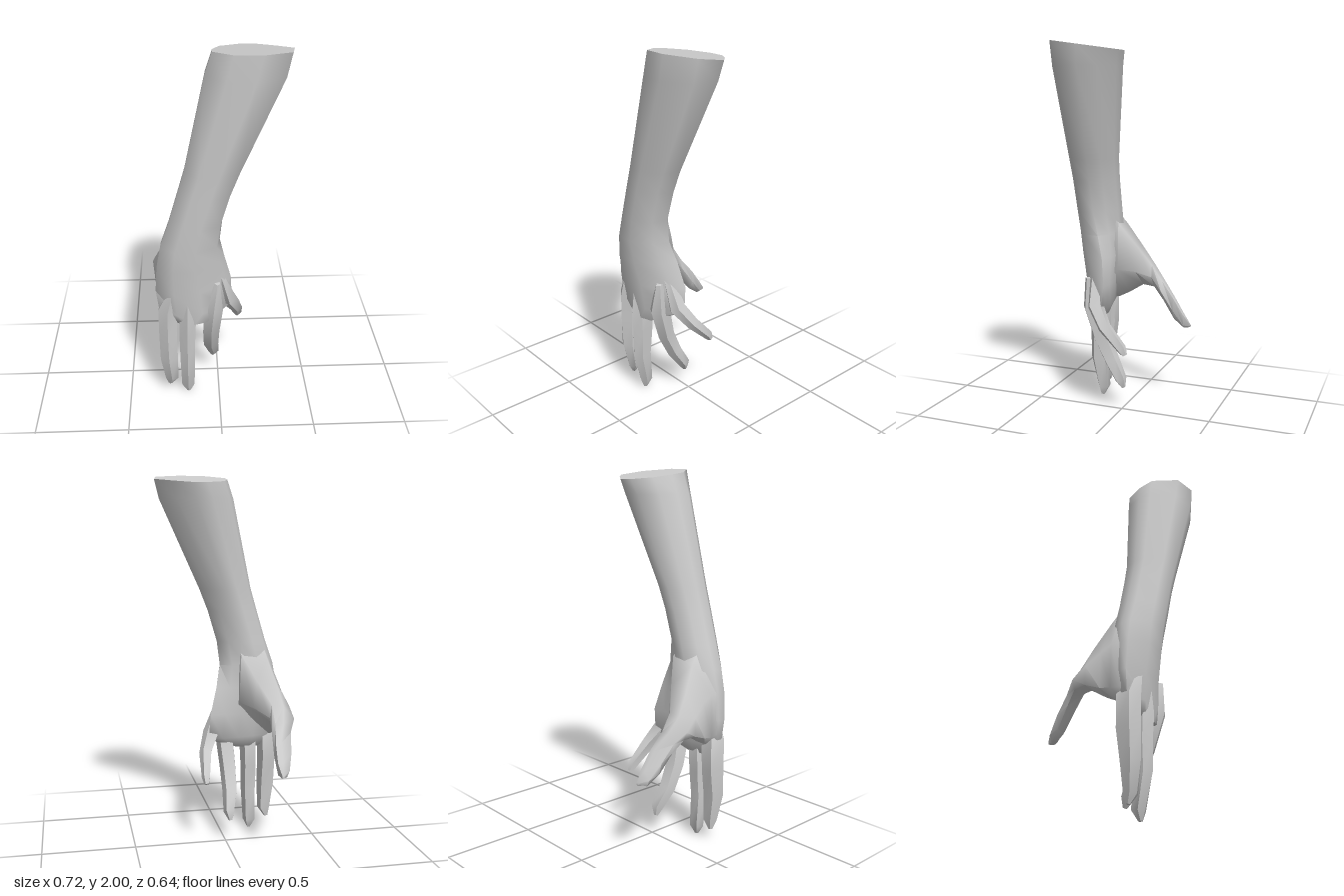
import * as THREE from 'three';
import { toCreasedNormals } from 'three/addons/utils/BufferGeometryUtils.js';

const V = (x, y, z) => new THREE.Vector3(x, y, z);
const material = new THREE.MeshStandardMaterial({ color: 0xcccccc });

// Skins a list of rings (equal point counts) and closes both ends
function loft(name, rings, crease) {
  const n = rings[0].length;
  const points = rings.flat();
  const index = [];
  for (let r = 0; r < rings.length - 1; r++) {
    for (let i = 0; i < n; i++) {
      const a = r * n + i, b = r * n + (i + 1) % n;
      index.push(a, b, a + n, b, b + n, a + n);
    }
  }
  [0, rings.length - 1].forEach((r, end) => {
    const centre = V(0, 0, 0);
    rings[r].forEach((p) => centre.addScaledVector(p, 1 / n));
    const c = points.push(centre) - 1;
    for (let i = 0; i < n; i++) {
      const a = r * n + i, b = r * n + (i + 1) % n;
      index.push(...(end ? [a, b, c] : [b, a, c]));
    }
  });
  // Turn the faces outward if the enclosed volume is negative
  let volume = 0;
  for (let i = 0; i < index.length; i += 3) {
    const [a, b, c] = [0, 1, 2].map((k) => points[index[i + k]]);
    volume += a.dot(b.clone().cross(c));
  }
  if (volume < 0) index.reverse();
  const geometry = new THREE.BufferGeometry().setFromPoints(points);
  geometry.setIndex(index);
  const mesh = new THREE.Mesh(toCreasedNormals(geometry, crease), material);
  mesh.name = name;
  return mesh;
}

// Ten-sided outline of the arm inside a unit square (x, z)
const OUTLINE = [[1, .41], [.94, .77], [.58, 1], [.24, .96], [0, .65],
  [.01, .43], [.1, .17], [.35, 0], [.57, .01], [.8, .2]];

// y, xMin, xMax, zMin, zMax, slope of the cut, curl of the little-finger side
const ARM = [
  [2.00, -.035, .36, -.055, .32, .14, 0],
  [1.87, -.07, .335, -.035, .32, 0, 0],
  [1.39, -.175, .115, .045, .31, 0, 0],
  [1.27, -.21, .068, .055, .307, 0, 0],
  [1.10, -.26, .018, .06, .305, 0, 0],
  [0.97, -.305, .005, .06, .302, 0, .02],
  [0.85, -.328, .03, .075, .295, 0, .06],
  [0.70, -.338, .068, .10, .272, 0, .09],
  [0.56, -.32, .075, .12, .255, 0, .08],
  [0.49, -.235, -.06, .15, .235, 0, 0],
];

function armRing([y, x0, x1, z0, z1, slope, curl]) {
  return OUTLINE.map(([u, v]) => V(
    x0 + u * (x1 - x0),
    y - slope * (1 - v) * (z1 - z0),
    z0 + v * (z1 - z0) - curl * Math.max(0, u - .45) / .55));
}

// Thumb cross-sections: z, then six (x, y) corners
const THUMB = [
  [.17, [-.10, 1.1], [-.24, 1.08], [-.32, .85], [-.325, .62], [-.27, .56], [-.10, .70]],
  [.12, [-.09, 1.1], [-.235, 1.08], [-.33, .85], [-.335, .62], [-.28, .57], [-.09, .72]],
  [.06, [-.10, 1.03], [-.245, 1.01], [-.33, .82], [-.34, .63], [-.28, .6], [-.09, .77]],
  [-.02, [-.17, .90], [-.28, .88], [-.35, .76], [-.35, .66], [-.29, .65], [-.155, .75]],
  [-.09, [-.235, .78], [-.3, .77], [-.36, .70], [-.34, .655], [-.28, .645], [-.225, .71]],
  [-.15, [-.24, .69], [-.285, .69], [-.325, .64], [-.315, .59], [-.265, .575], [-.222, .63]],
  [-.22, [-.225, .60], [-.255, .605], [-.31, .55], [-.295, .49], [-.25, .475], [-.217, .53]],
  [-.28, [-.222, .51], [-.25, .51], [-.285, .47], [-.27, .435], [-.245, .43], [-.222, .45]],
  [-.32, [-.235, .455], [-.24, .455], [-.245, .45], [-.245, .445], [-.24, .44], [-.235, .445]],
];

// Finger paths from knuckle to tip: x, y, z, width, depth
const FINGERS = {
  indexFinger: [[-.245, .73, .225, .02, .05], [-.278, .58, .2, .10, .12], [-.28, .42, .2, .095, .12],
    [-.277, .26, .208, .095, .095], [-.265, .11, .195, .07, .06], [-.277, .06, .185, .02, .02]],
  middleFinger: [[-.17, .69, .22, .03, .05], [-.172, .51, .205, .09, .12], [-.175, .38, .202, .085, .11],
    [-.175, .23, .208, .08, .095], [-.175, .05, .18, .07, .06], [-.172, .003, .185, .02, .02]],
  ringFinger: [[-.01, .73, .195, .03, .05], [-.03, .57, .19, .1, .10], [-.042, .39, .14, .09, .085],
    [-.042, .26, .08, .082, .075], [-.025, .16, .018, .06, .06], [-.03, .115, .003, .02, .02]],
  littleFinger: [[.01, .76, .15, .03, .06], [.055, .59, .135, .085, .08], [.10, .49, .065, .065, .065],
    [.115, .385, -.04, .045, .05], [.115, .352, -.06, .025, .025]],
};

// Five-sided rings set square to the path, with a ridge along the back
function fingerRings(path) {
  return path.map(([x, y, z, w, d], i) => {
    const a = path[Math.max(i - 1, 0)], b = path[Math.min(i + 1, path.length - 1)];
    const along = V(b[0] - a[0], b[1] - a[1], b[2] - a[2]).normalize();
    const side = V(0, 0, 1).cross(along).normalize();
    const back = along.clone().cross(side);
    return [[0, .5], [.5, .2], [.36, -.5], [-.36, -.5], [-.5, .2]].map(([u, v]) =>
      V(x, y, z).addScaledVector(side, u * w).addScaledVector(back, v * d));
  });
}

export function createModel() {
  const model = new THREE.Group();
  model.name = 'armAndHand';
  model.add(loft('forearmAndPalm', ARM.map(armRing), 1.2));
  model.add(loft('thumb', THUMB.map(([z, ...corners]) => corners.map(([x, y]) => V(x, y, z))), 1.2));
  for (const [name, path] of Object.entries(FINGERS)) {
    model.add(loft(name, fingerRings(path), .6));
  }
  return model;
}
